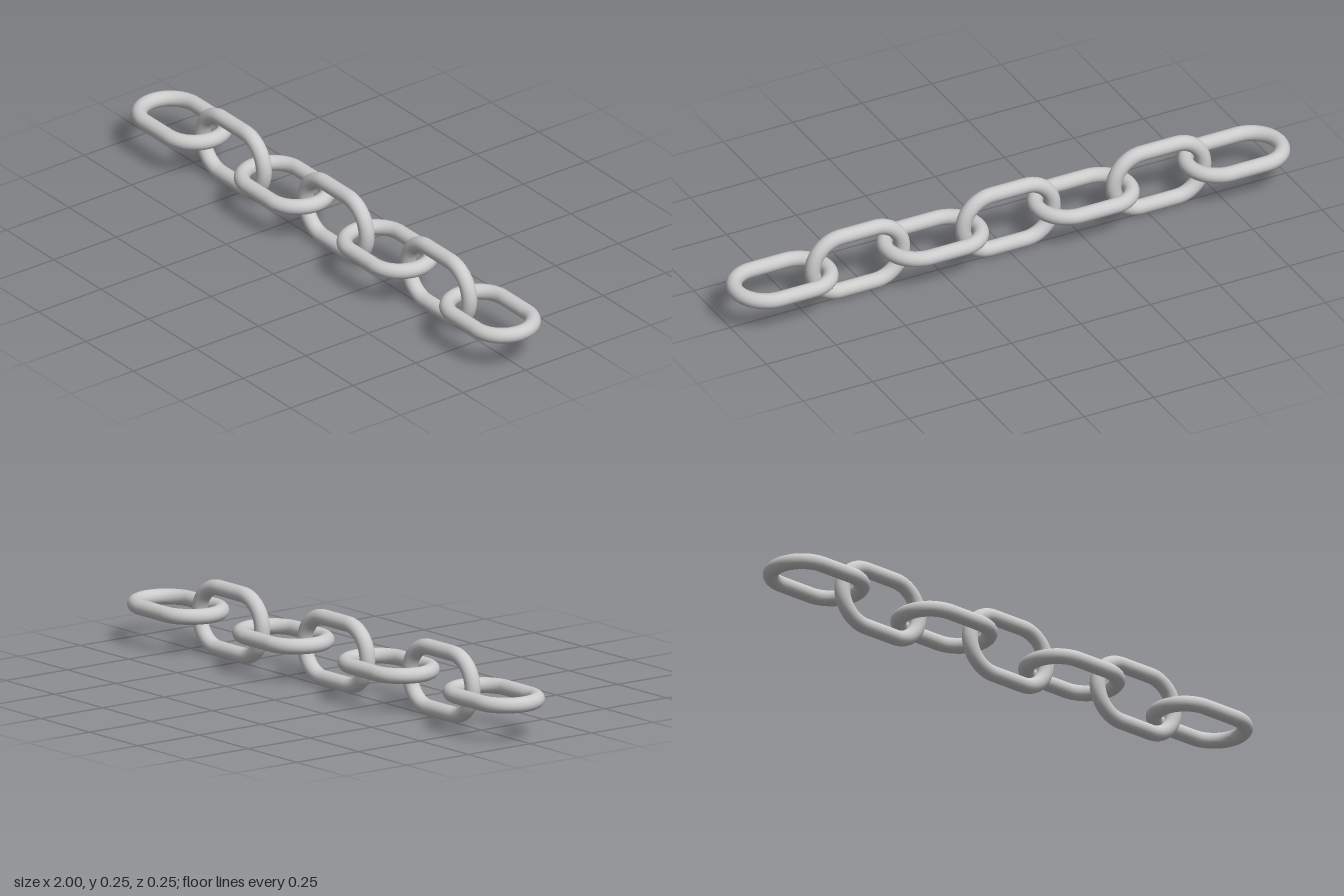
import * as THREE from 'three';

const WIRE = 0.0255;          // wire radius
const BEND = 0.125 - WIRE;    // centreline radius of the rounded ends
const HALF = 0.062;           // half length of the straight sides
const PITCH = 0.271;          // distance between link centres
const COUNT = 7;

// Closed stadium-shaped centreline, starting mid-way along the lower straight side
class LinkCurve extends THREE.Curve {
  getPoint(t, target = new THREE.Vector3()) {
    const arc = Math.PI * BEND;
    const total = 4 * HALF + 2 * arc;
    const second = t >= 0.5;
    const d = (second ? t - 0.5 : t) * total;
    let x, y;
    if (d < HALF) {
      x = d; y = -BEND;
    } else if (d < HALF + arc) {
      const a = (d - HALF) / BEND - Math.PI / 2;
      x = HALF + BEND * Math.cos(a); y = BEND * Math.sin(a);
    } else {
      x = 2 * HALF + arc - d; y = BEND;
    }
    // The second half is the first turned by 180 degrees
    return second ? target.set(-x, -y, 0) : target.set(x, y, 0);
  }
}

export function createModel() {
  const chain = new THREE.Group();
  chain.name = 'chain';
  const material = new THREE.MeshStandardMaterial({ color: 0xcccccc });
  const geometry = new THREE.TubeGeometry(new LinkCurve(), 96, WIRE, 20, true);

  // Links alternate between lying flat and standing upright
  for (let i = 0; i < COUNT; i++) {
    const flat = i % 2 === 0;
    const link = new THREE.Mesh(geometry, material);
    link.name = (flat ? 'flatLink' : 'uprightLink') + (i + 1);
    link.position.set((i - (COUNT - 1) / 2) * PITCH, 0.125, 0);
    if (flat) link.rotation.x = Math.PI / 2;
    chain.add(link);
  }
  return chain;
}
